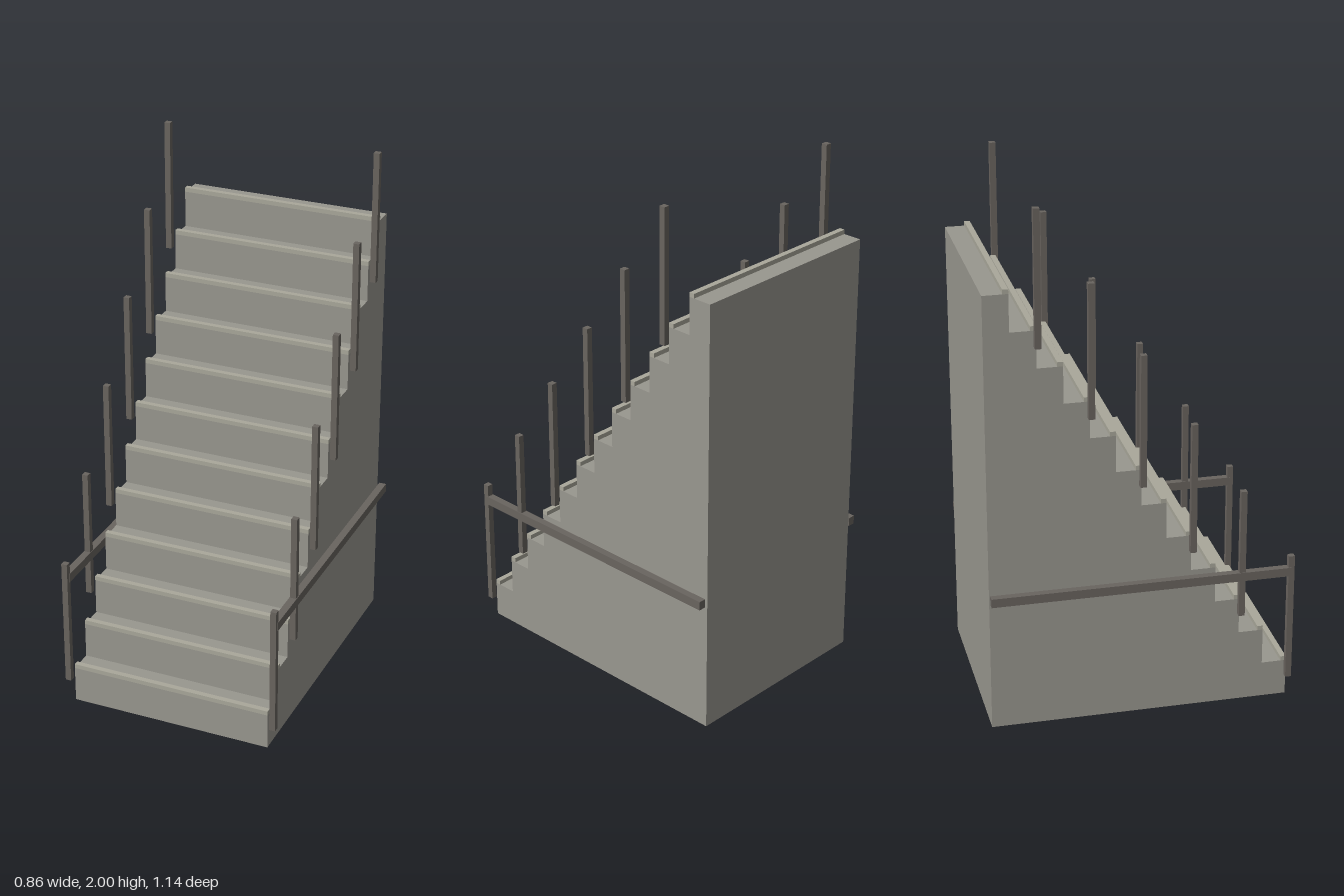
import * as THREE from 'three';

const STEPS = 12, RUN = 0.0942, RISE = 0.141;
const HALF_W = 0.394, FRONT = 0.558, BACK = -0.572;

export function createModel() {
  const model = new THREE.Group();
  model.name = 'staircase';
  const stone = new THREE.MeshStandardMaterial({ color: 0x99978f });
  const edging = new THREE.MeshStandardMaterial({ color: 0xaaa89b });
  const metal = new THREE.MeshStandardMaterial({ color: 0x69645f });

  const addBox = (parent, name, size, pos, material) => {
    const mesh = new THREE.Mesh(new THREE.BoxGeometry(...size), material);
    mesh.name = name;
    mesh.position.set(...pos);
    parent.add(mesh);
  };

  // Solid flight: stepped side profile (shape x = -z) extruded across the width
  const profile = new THREE.Shape();
  profile.moveTo(-FRONT, 0);
  for (let i = 0; i < STEPS; i++) {
    const z = FRONT - i * RUN;
    profile.lineTo(-z, (i + 1) * RISE);
    profile.lineTo(i === STEPS - 1 ? -BACK : -(z - RUN), (i + 1) * RISE);
  }
  profile.lineTo(-BACK, 0);
  profile.closePath();
  const flightGeo = new THREE.ExtrudeGeometry(profile, { depth: HALF_W * 2, bevelEnabled: false });
  flightGeo.translate(0, 0, -HALF_W).rotateY(Math.PI / 2);
  const flight = new THREE.Mesh(flightGeo, stone);
  flight.name = 'flight';
  model.add(flight);

  // Raised strip along the front edge of every tread
  const nosings = new THREE.Group();
  nosings.name = 'nosings';
  for (let i = 0; i < STEPS; i++) {
    addBox(nosings, 'nosing', [HALF_W * 2, 0.017, 0.021],
      [0, (i + 1) * RISE + 0.0085, FRONT - i * RUN - 0.0105], edging);
  }
  model.add(nosings);

  // Posts on every second step and one level rail, on both sides
  for (const side of [1, -1]) {
    const railing = new THREE.Group();
    railing.name = side > 0 ? 'leftRailing' : 'rightRailing';
    for (let i = 0; i < 6; i++) {
      addBox(railing, 'post', [0.023, 0.506, 0.023],
        [side * 0.417, 0.341 + i * 0.2812, 0.5585 - i * RUN * 2], metal);
    }
    addBox(railing, 'rail', [0.028, 0.034, 1.126], [side * 0.417, 0.531, -0.006], metal);
    model.add(railing);
  }
  return model;
}
